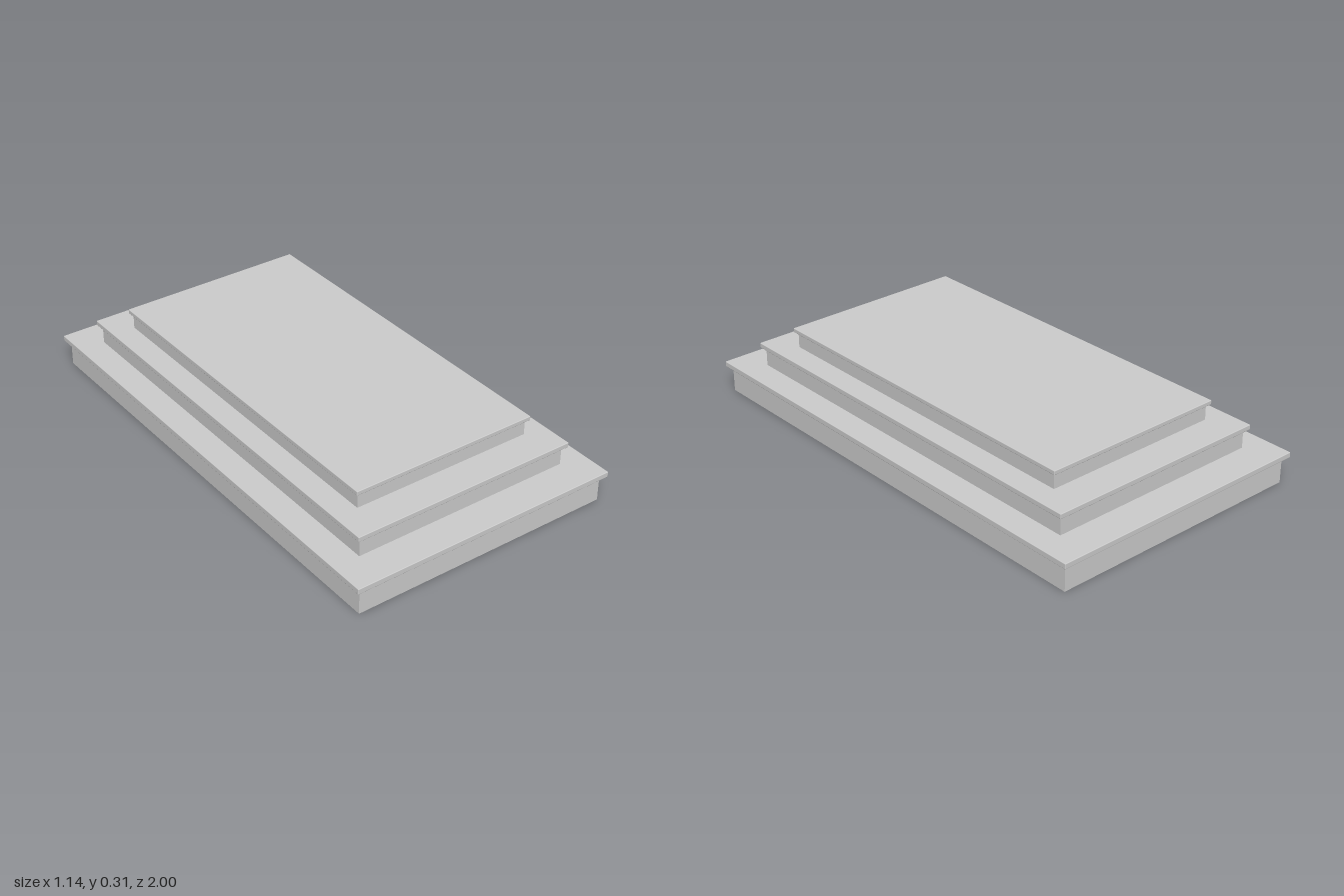
import * as THREE from 'three';
import { RoundedBoxGeometry } from 'three/addons/geometries/RoundedBoxGeometry.js';

const material = new THREE.MeshStandardMaterial({ color: 0xcccccc });

// Each tier: half width and half depth of riser and tread, and heights of riser base, tread base, tread top
const tiers = [
  { name: 'lower', riser: [0.547, 0.978], tread: [0.568, 1.0], y: [0, 0.106, 0.129] },
  { name: 'middle', riser: [0.459, 0.86], tread: [0.476, 0.878], y: [0.129, 0.206, 0.227] },
  { name: 'upper', riser: [0.38, 0.742], tread: [0.393, 0.757], y: [0.227, 0.291, 0.309] },
];

function addPart(group, name, geometry, yBottom, yTop) {
  const mesh = new THREE.Mesh(geometry, material);
  mesh.name = name;
  mesh.position.y = (yBottom + yTop) / 2;
  group.add(mesh);
}

export function createModel() {
  const model = new THREE.Group();
  model.name = 'steppedPlatform';

  for (const { name, riser, tread, y } of tiers) {
    const tier = new THREE.Group();
    tier.name = `${name}Tier`;
    // Plain block
    const block = new THREE.BoxGeometry(riser[0] * 2, y[1] - y[0], riser[1] * 2);
    addPart(tier, `${name}Riser`, block, y[0], y[1]);
    // Overhanging slab with slightly eased edges
    const slab = new RoundedBoxGeometry(tread[0] * 2, y[2] - y[1], tread[1] * 2, 2, 0.003);
    addPart(tier, `${name}Tread`, slab, y[1], y[2]);
    model.add(tier);
  }
  return model;
}
